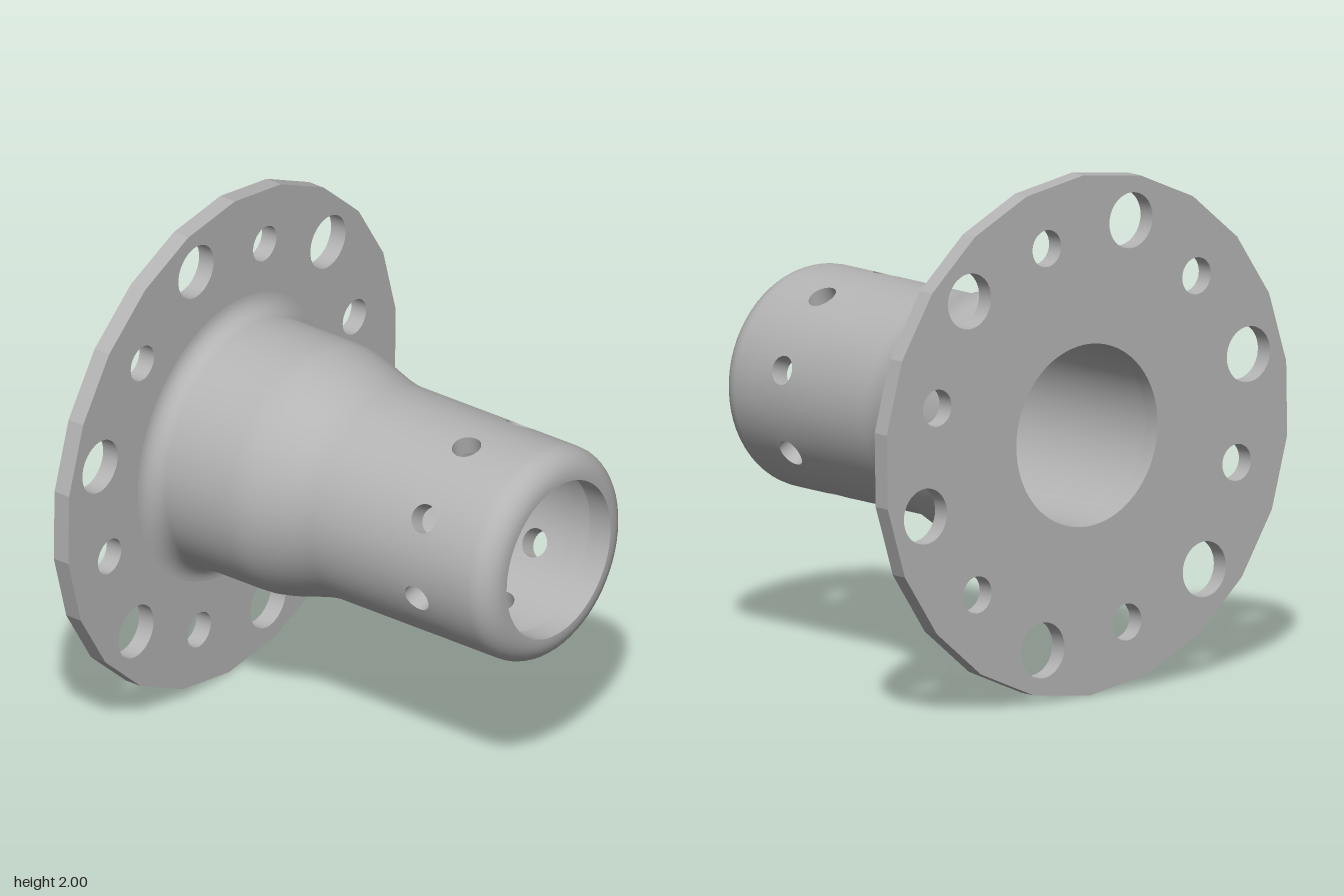
import * as THREE from 'three';
import { mergeGeometries, toCreasedNormals } from 'three/addons/utils/BufferGeometryUtils.js';

const RAD = Math.PI / 180;
const SEGS = 64, LOOP = 32;
const OUTER = 0.427, BORE = 0.35, MOUTH = 0.315;
const HOLE_Z = 0.465, HOLE_R = 0.056, BAND = 0.15; // drilled band of the tube
const BACK = -0.82, FACE = -0.75, FRONT = 0.82;

// Creased normals, computed at a larger scale so that fine vertices stay distinct
function crease(geo, angle) {
  geo.scale(100, 100, 100);
  const out = toCreasedNormals(geo, angle);
  out.scale(0.01, 0.01, 0.01);
  return out;
}

// Turned surface about the z axis from [radius, z] pairs
function turned(profile) {
  const pts = profile.map(([r, z]) => new THREE.Vector2(r, z));
  const geo = new THREE.LatheGeometry(pts, SEGS, 82.5 * RAD).rotateX(Math.PI / 2).toNonIndexed();
  geo.deleteAttribute('uv');
  return geo;
}

// Quarter-round points
function arc(cr, cz, rad, from, to, n = 8) {
  return Array.from({ length: n + 1 }, (_, i) => {
    const a = (from + (to - from) * i / n) * RAD;
    return [cr + rad * Math.cos(a), cz + rad * Math.sin(a)];
  });
}

// Closed strips between successive loops of points
function strips(loops, flip) {
  const pos = [];
  for (let j = 0; j < loops.length - 1; j++) {
    for (let i = 0; i < LOOP; i++) {
      const k = (i + 1) % LOOP;
      const a = loops[j][i], b = loops[j + 1][i], c = loops[j + 1][k], d = loops[j][k];
      const quad = flip ? [a, c, b, a, d, c] : [a, b, c, a, c, d];
      quad.forEach(p => pos.push(...p));
    }
  }
  const geo = new THREE.BufferGeometry();
  geo.setAttribute('position', new THREE.Float32BufferAttribute(pos, 3));
  geo.computeVertexNormals();
  return geo;
}

// Loop on a cylinder of radius r, blending from the round hole (t = 0) to the patch border (t = 1)
function patchLoop(r, centre, t) {
  return Array.from({ length: LOOP }, (_, i) => {
    const f = (i % 8) / 4 - 1;
    const [u, v] = [[1, f], [-f, 1], [-1, -f], [f, -1]][Math.floor(i / 8)];
    const a = (i / LOOP * 360 - 45) * RAD;
    const hole = Math.asin(HOLE_R * Math.cos(a) / r);
    const th = centre + hole * (1 - t) + u * 22.5 * RAD * t;
    const z = HOLE_Z + HOLE_R * Math.sin(a) * (1 - t) + v * BAND * t;
    return [r * Math.cos(th), r * Math.sin(th), z];
  });
}

function tubeGeometry() {
  const lo = HOLE_Z - BAND, hi = HOLE_Z + BAND;
  // Root fillet, wide collar, smooth neck down to the narrow tube
  const neck = Array.from({ length: 13 }, (_, i) => {
    const t = i / 12, s = t * t * (3 - 2 * t);
    return [0.497 + (OUTER - 0.497) * s, -0.38 + 0.35 * t];
  });
  const parts = [
    turned([...arc(0.572, FACE + 0.075, 0.075, 270, 180), ...neck, [OUTER, lo]]),
    // Rounded nose, mouth lip and the step into the wider bore
    turned([[OUTER, hi], ...arc(OUTER - 0.1, FRONT - 0.1, 0.1, 0, 90),
      [MOUTH, FRONT], [MOUTH, FRONT - 0.1], [BORE, FRONT - 0.1], [BORE, hi]]),
    turned([[BORE, lo], [BORE, FACE]]),
  ];
  // Eight drilled patches: outer skin, inner skin and hole wall
  const steps = [0, 0.25, 0.5, 0.75, 1];
  for (let k = 0; k < 8; k++) {
    const c = (15 + 45 * k) * RAD;
    parts.push(strips(steps.map(t => patchLoop(OUTER, c, t)), false));
    parts.push(strips(steps.map(t => patchLoop(BORE, c, t)), true));
    parts.push(strips([patchLoop(OUTER, c, 0), patchLoop(BORE, c, 0)], true));
  }
  return crease(mergeGeometries(parts), 0.6);
}

function ring(x, y, r, n, start = 0) {
  return Array.from({ length: n }, (_, i) => {
    const a = start + i / n * Math.PI * 2;
    return new THREE.Vector2(x + r * Math.cos(a), y + r * Math.sin(a));
  });
}

// Faceted plate with alternating large and small bolt holes
function flangeGeometry() {
  const shape = new THREE.Shape(ring(0, 0, 1, 22, 89 * RAD));
  shape.holes.push(new THREE.Path(ring(0, 0, BORE, SEGS, -7.5 * RAD)));
  for (let k = 0; k < 6; k++) {
    const big = (-14.7 + 60 * k) * RAD, small = (15 + 60 * k) * RAD;
    shape.holes.push(new THREE.Path(ring(0.827 * Math.cos(big), 0.827 * Math.sin(big), 0.107, 40)));
    shape.holes.push(new THREE.Path(ring(0.768 * Math.cos(small), 0.768 * Math.sin(small), 0.071, 40)));
  }
  const geo = new THREE.ExtrudeGeometry(shape, { depth: FACE - BACK, bevelEnabled: false });
  geo.translate(0, 0, BACK);
  return crease(geo, 0.2);
}

export function createModel() {
  const steel = new THREE.MeshStandardMaterial({ color: 0xb4b4b4 });
  steel.name = 'grey steel';
  const model = new THREE.Group();
  model.name = 'flangedSleeve';
  for (const [name, geo] of [['flange', flangeGeometry()], ['drilledTube', tubeGeometry()]]) {
    const mesh = new THREE.Mesh(geo, steel);
    mesh.name = name;
    model.add(mesh);
  }
  model.position.y = 1;
  return model;
}
